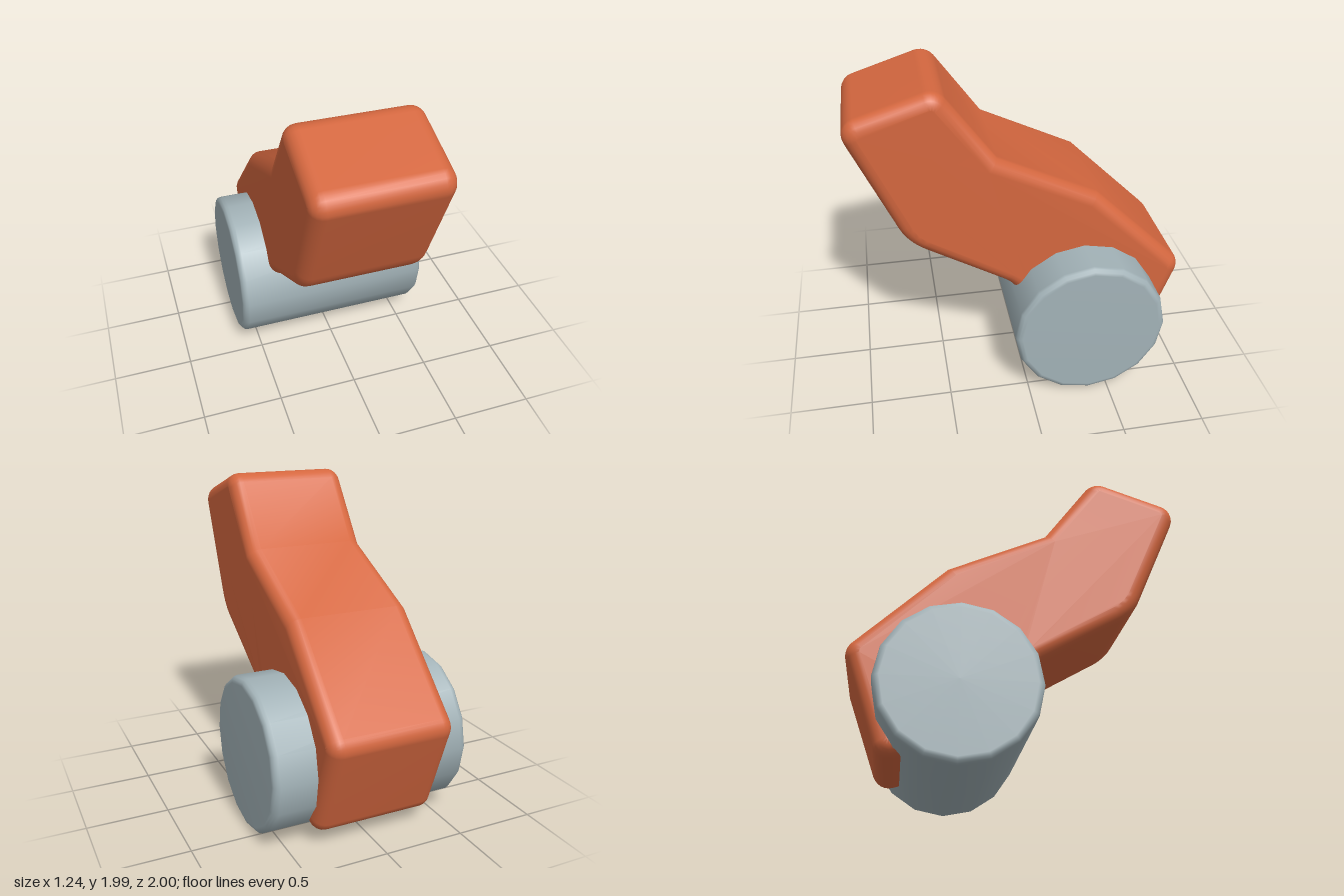
import * as THREE from 'three';
import { mergeVertices } from 'three/addons/utils/BufferGeometryUtils.js';

// Weld a geometry and give it area-weighted smooth normals.
function smooth(geometry) {
  geometry.deleteAttribute('uv');
  geometry.deleteAttribute('normal');
  const welded = mergeVertices(geometry, 1e-4);
  welded.computeVertexNormals();
  return welded;
}

// Closed outline from [x, y, cornerRadius] entries, with circular corners.
function roundedOutline(corners, steps = 6) {
  const points = [];
  const n = corners.length;
  const at = (i) => new THREE.Vector2(corners[(i + n) % n][0], corners[(i + n) % n][1]);
  corners.forEach(([, , r], i) => {
    const p = at(i);
    if (!r) {
      points.push(p);
      return;
    }
    const u = at(i - 1).sub(p).normalize();
    const v = at(i + 1).sub(p).normalize();
    const half = Math.acos(u.dot(v)) / 2;
    const center = u.clone().add(v).normalize().multiplyScalar(r / Math.sin(half)).add(p);
    const start = p.clone().addScaledVector(u, r / Math.tan(half)).sub(center);
    const turn = Math.sign(v.cross(u)) * (Math.PI - 2 * half);
    for (let k = 0; k <= steps; k++) {
      points.push(start.clone().rotateAround(new THREE.Vector2(), (turn * k) / steps).add(center));
    }
  });
  return new THREE.Shape(points);
}

export function createModel() {
  const orange = new THREE.MeshStandardMaterial({ color: 0xd4673f });
  orange.name = 'orange';
  const grey = new THREE.MeshStandardMaterial({ color: 0xa2b2b7 });
  grey.name = 'blueGrey';

  const model = new THREE.Group();
  model.name = 'leverOnRoller';

  // Bent arm: side profile in (z, y), counterclockwise from the front tip
  const profile = roundedOutline([
    [1.03, 1.83, 0.1],
    [0.47, 2.01, 0.11],
    [0.15, 1.565, 0],
    [-0.45, 1.28, 0],
    [-1.025, 0.715, 0.1],
    [-0.79, 0.07, 0.1],
    [-0.2, 0.25, 0],
    [0.07, 0.685, 0.25],
    [0.69, 1.055, 0.35],
  ]);
  const bevel = 0.08;
  const armGeometry = new THREE.ExtrudeGeometry(profile, {
    depth: 0.78 - 2 * bevel,
    bevelSize: bevel,
    bevelThickness: bevel,
    bevelOffset: -bevel,
    bevelSegments: 5,
  });
  armGeometry.rotateY(-Math.PI / 2).translate(0.28, 0, 0);
  const arm = new THREE.Mesh(smooth(armGeometry), orange);
  arm.name = 'bentArm';
  model.add(arm);

  // Sixteen-sided roller with softened rims, lying along x
  const r = 0.47, h = 0.622, e = 0.04;
  const rim = [];
  for (let k = 0; k <= 3; k++) {
    const a = (k / 3) * (Math.PI / 2);
    rim.push([r - e + e * Math.sin(a), h - e + e * Math.cos(a)]);
  }
  const rollerProfile = [
    [0, -h],
    ...rim.map(([x, y]) => [x, -y]),
    ...rim.slice().reverse(),
    [0, h],
  ].map(([x, y]) => new THREE.Vector2(x, y));
  const roller = new THREE.Mesh(smooth(new THREE.LatheGeometry(rollerProfile, 16)), grey);
  roller.name = 'roller';
  roller.rotation.z = Math.PI / 2;
  roller.position.set(0, r, -0.375);
  model.add(roller);

  return model;
}
